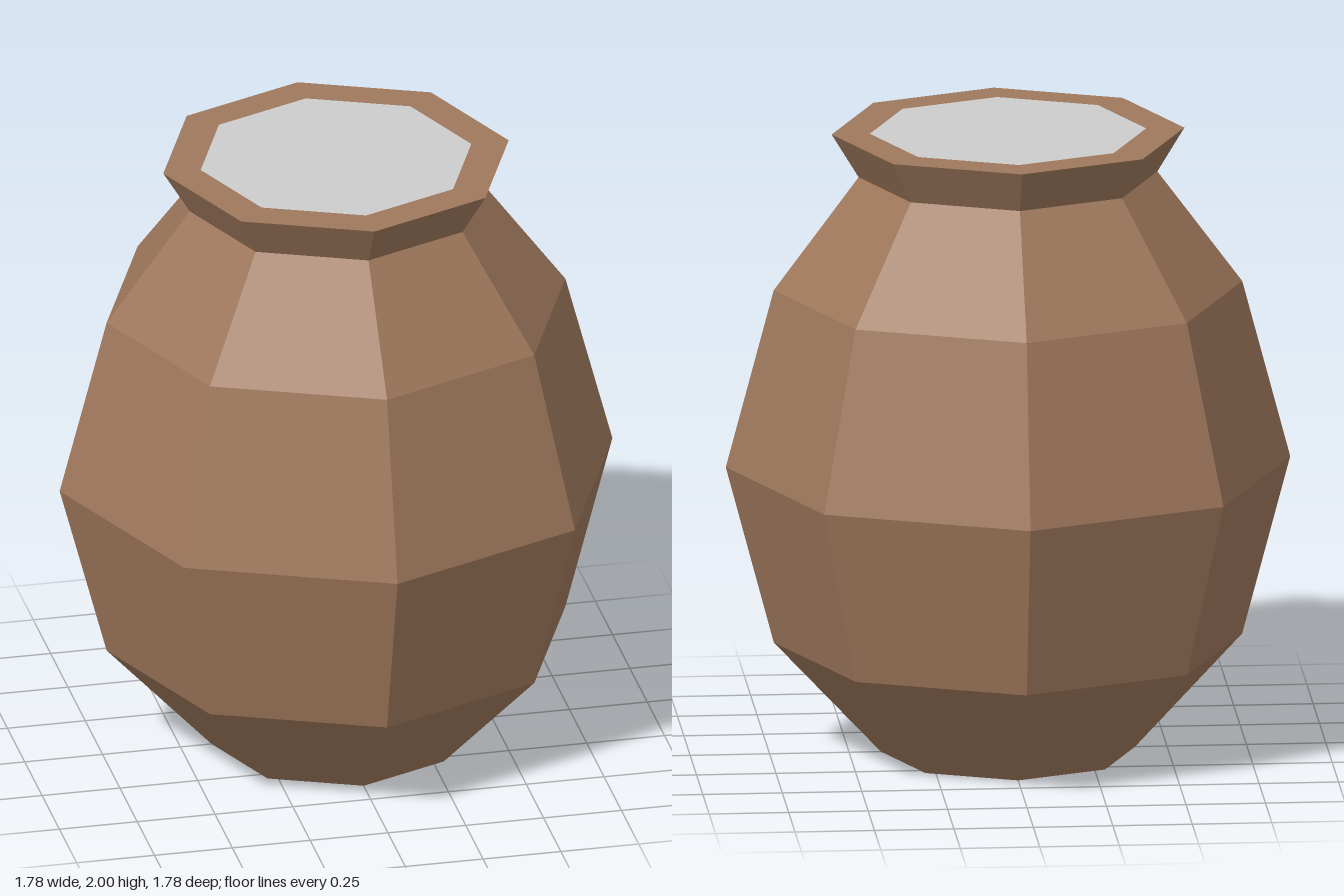
import * as THREE from 'three';

const SIDES = 8;

// Faceted surface of revolution from [radius, height] pairs
function turned(name, profile, material) {
  const points = profile.map(([r, y]) => new THREE.Vector2(r, y));
  const mesh = new THREE.Mesh(new THREE.LatheGeometry(points, SIDES), material);
  mesh.name = name;
  return mesh;
}

export function createModel() {
  const clay = new THREE.MeshStandardMaterial({ color: 0x9f785c, flatShading: true });
  clay.name = 'brown clay';
  const pale = new THREE.MeshStandardMaterial({ color: 0xcccccc, flatShading: true });
  pale.name = 'pale grey';

  const pot = new THREE.Group();
  pot.name = 'pot';

  // Closed base and bulging belly up to the neck
  pot.add(turned('body', [[0, 0], [0.4, 0], [0.737, 0.36], [0.888, 0.93], [0.737, 1.5], [0.47, 1.86]], clay));

  // Flared collar with a flat lip
  pot.add(turned('rim', [[0.47, 1.86], [0.555, 2], [0.435, 2]], clay));

  // Flat filling, level with the lip
  pot.add(turned('filling', [[0.435, 2], [0, 2]], pale));

  return pot;
}
